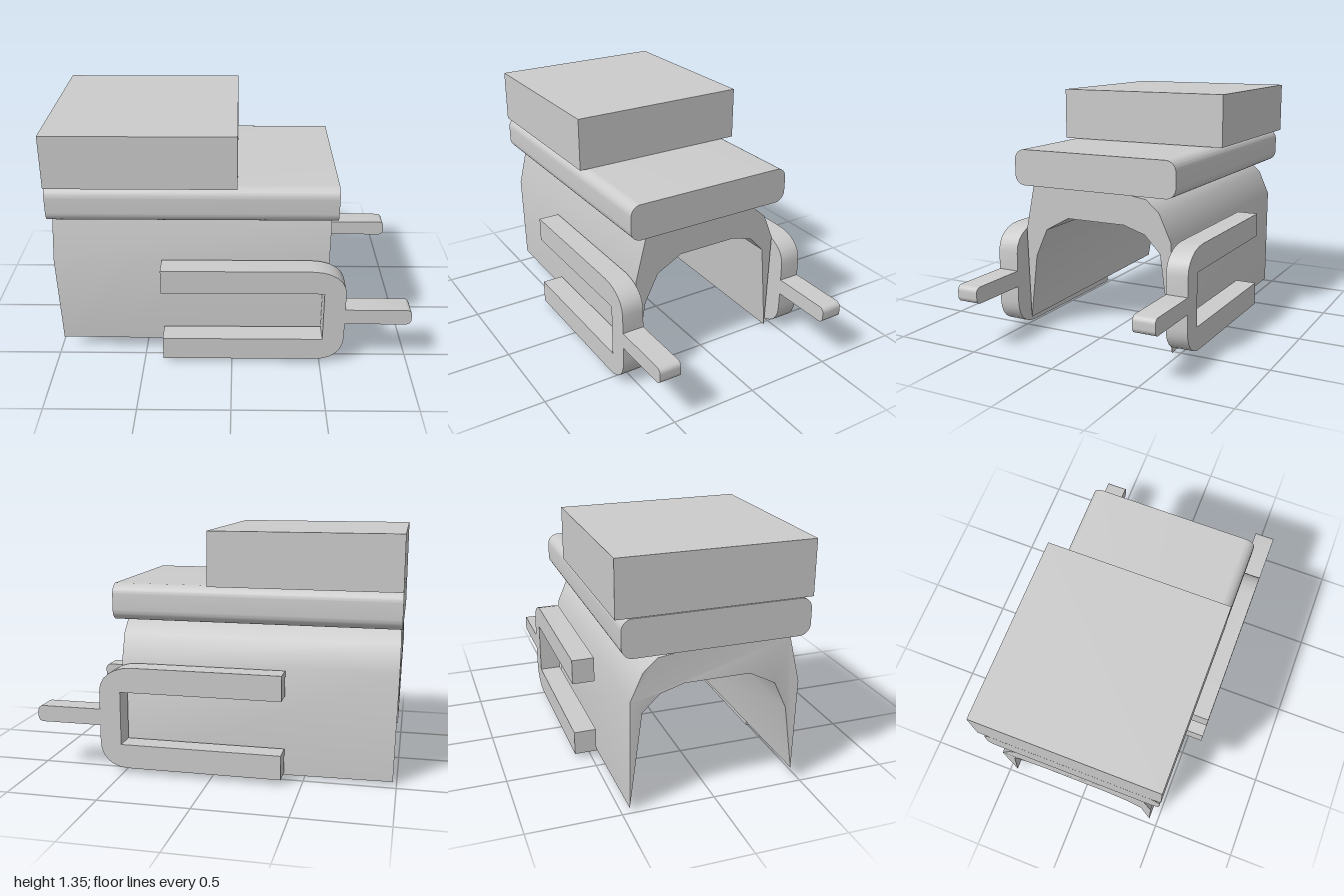
import * as THREE from 'three';
import { toCreasedNormals } from 'three/addons/utils/BufferGeometryUtils.js';

const material = new THREE.MeshStandardMaterial({ color: 0xcccccc, side: THREE.DoubleSide });

function part(name, geometry) {
  const mesh = new THREE.Mesh(geometry, material);
  mesh.name = name;
  return mesh;
}

// Extrudes a (-z, y) outline along x from x0 to x1
function alongX(shape, x0, x1) {
  return new THREE.ExtrudeGeometry(shape, { depth: x1 - x0, bevelEnabled: false, curveSegments: 8 })
    .rotateY(Math.PI / 2).translate(x0, 0, 0);
}

function outline(points) {
  return new THREE.Shape(points.map(([a, b]) => new THREE.Vector2(a, b)));
}

function roundedRect(x0, y0, x1, y1, r) {
  const s = new THREE.Shape();
  s.absarc(x1 - r, y0 + r, r, -Math.PI / 2, 0);
  s.absarc(x1 - r, y1 - r, r, 0, Math.PI / 2);
  s.absarc(x0 + r, y1 - r, r, Math.PI / 2, Math.PI);
  s.absarc(x0 + r, y0 + r, r, Math.PI, Math.PI * 1.5);
  s.closePath();
  return s;
}

// Saddle-like arch: thick crown, legs tapering to thin edges
function archGeometry() {
  const g = alongX(outline([
    [-0.45, 0.07], [-0.395, 0.45], [-0.32, 0.61], [-0.175, 0.69],
    [0.175, 0.69], [0.30, 0.65], [0.39, 0.555], [0.455, 0.01],
    [0.453, 0.625], [0.387, 0.775], [0.31, 0.843], [0.17, 0.862],
    [-0.395, 0.862], [-0.455, 0.6],
  ]), 0, 1);
  const p = g.attributes.position;
  for (let i = 0; i < p.count; i++) {
    const y = p.getY(i);
    const far = 1 - p.getX(i);
    // The ends lean slightly and the lower edge rises toward -x
    p.setX(i, far > 0.5 ? -0.98 - 0.02 * Math.max(0, 1 - Math.abs(y - 0.7) / 0.3) : 0.522 + 0.028 * y / 0.86);
    p.setY(i, y + 0.018 * far * Math.max(0, 1 - y / 0.86));
  }
  return toCreasedNormals(g, 0.6);
}

// Two-pronged fork with a rounded yoke and a short rounded pin
function forkGeometry() {
  const s = new THREE.Shape();
  s.moveTo(-0.39, 0.04);
  s.lineTo(0.47, 0.04);
  s.bezierCurveTo(0.57, 0.04, 0.63, 0.1, 0.63, 0.19);
  s.lineTo(0.63, 0.28);
  s.lineTo(0.97, 0.28);
  s.absarc(0.97, 0.31, 0.03, -Math.PI / 2, 0);
  s.absarc(0.97, 0.342, 0.03, 0, Math.PI / 2);
  s.lineTo(0.63, 0.372);
  s.lineTo(0.63, 0.475);
  s.bezierCurveTo(0.63, 0.56, 0.55, 0.615, 0.44, 0.615);
  s.lineTo(-0.39, 0.615);
  s.lineTo(-0.39, 0.475);
  s.lineTo(0.51, 0.475);
  s.lineTo(0.51, 0.175);
  s.lineTo(-0.39, 0.175);
  s.closePath();
  return toCreasedNormals(
    new THREE.ExtrudeGeometry(s, { depth: 0.124, bevelEnabled: false, curveSegments: 6 }), 0.6);
}

export function createModel() {
  const model = new THREE.Group();
  model.name = 'model';

  model.add(part('arch', archGeometry()));

  // Slab with long edges rounded
  const slab = alongX(roundedRect(-0.5, 0.86, 0.495, 1.062, 0.06), -1, 0.575);
  model.add(part('slab', toCreasedNormals(slab, 0.6)));

  // Block on the slab
  const block = new THREE.BoxGeometry(1.03, 0.297, 1.03);
  block.translate(-0.485, 1.2135, -0.009);
  model.add(part('topBlock', block));

  // One fork on each flank
  for (const [name, z] of [['frontFork', 0.465], ['backFork', -0.593]]) {
    const fork = part(name, forkGeometry());
    fork.position.z = z;
    model.add(fork);
  }
  return model;
}
